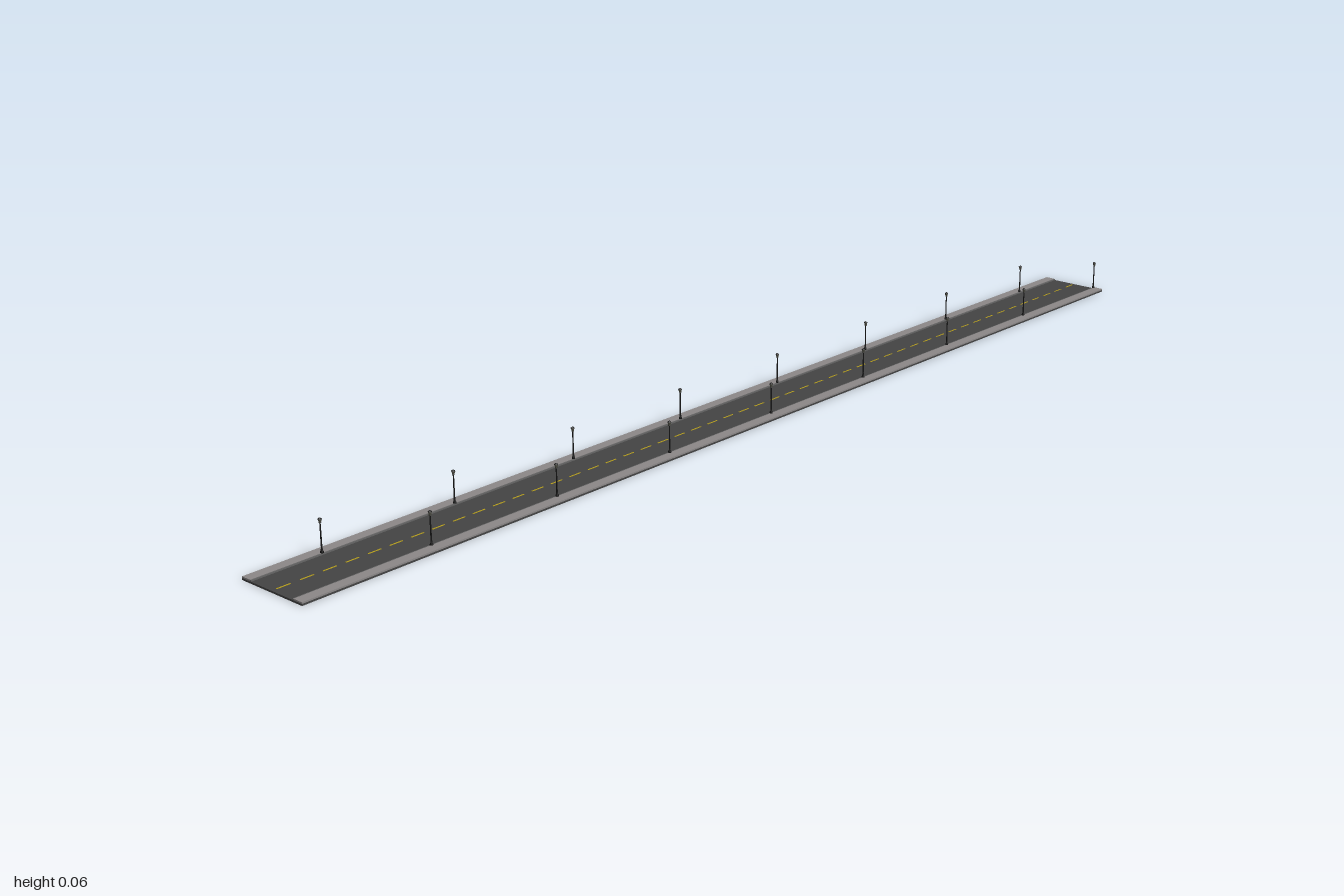
import * as THREE from 'three';

const mat = (color) => new THREE.MeshStandardMaterial({ color });

export function createModel() {
  const road = new THREE.Group();
  road.name = 'streetSection';
  const asphalt = mat(0x444444), paving = mat(0x8c8888), kerbStone = mat(0x666666);
  const yellow = mat(0xb8a01c), iron = mat(0x151515), glass = mat(0x55554a);

  const add = (parent, name, geometry, material, x, y, z) => {
    const mesh = new THREE.Mesh(geometry, material);
    mesh.name = name;
    mesh.position.set(x, y, z);
    parent.add(mesh);
    return mesh;
  };

  // Roadbed under the full width
  add(road, 'roadbed', new THREE.BoxGeometry(0.132, 0.003, 2), asphalt, 0, 0.0015, 0);

  // Raised pavements with a kerb on the road side
  for (const side of [-1, 1]) {
    add(road, 'pavement', new THREE.BoxGeometry(0.018, 0.0025, 2), paving, side * 0.057, 0.00425, 0);
    add(road, 'kerb', new THREE.BoxGeometry(0.002, 0.0023, 2), kerbStone, side * 0.047, 0.00415, 0);
  }

  // Dashed centre line
  const dashes = 50, pitch = 2 / dashes;
  const dash = new THREE.BoxGeometry(0.0022, 0.0006, pitch * 0.6);
  for (let i = 0; i < dashes; i++) {
    add(road, 'centreDash', dash, yellow, 0, 0.0033, -1 + (i + 0.5) * pitch);
  }

  // Street lamp: turned post, tapered lantern and cap
  const post = new THREE.LatheGeometry([
    [0, 0], [0.0026, 0], [0.0026, 0.002], [0.0016, 0.004], [0.0012, 0.008],
    [0.001, 0.045], [0.002, 0.0465], [0, 0.0465],
  ].map(([r, y]) => new THREE.Vector2(r, y)), 10);
  const lantern = new THREE.CylinderGeometry(0.003, 0.0018, 0.005, 6);
  const cap = new THREE.CylinderGeometry(0.0008, 0.0036, 0.0024, 6);
  const addLamp = (x, z) => {
    const lamp = new THREE.Group();
    lamp.name = 'streetLamp';
    lamp.position.set(x, 0.0053, z);
    add(lamp, 'lampPost', post, iron, 0, 0, 0);
    add(lamp, 'lantern', lantern, glass, 0, 0.049, 0);
    add(lamp, 'lanternCap', cap, iron, 0, 0.0527, 0);
    road.add(lamp);
  };

  // Lamps staggered on the two sides
  for (let i = 0; i < 8; i++) {
    addLamp(-0.0485, 0.875 - i * 0.25);
    addLamp(0.048, 0.755 - i * 0.25);
  }
  return road;
}
